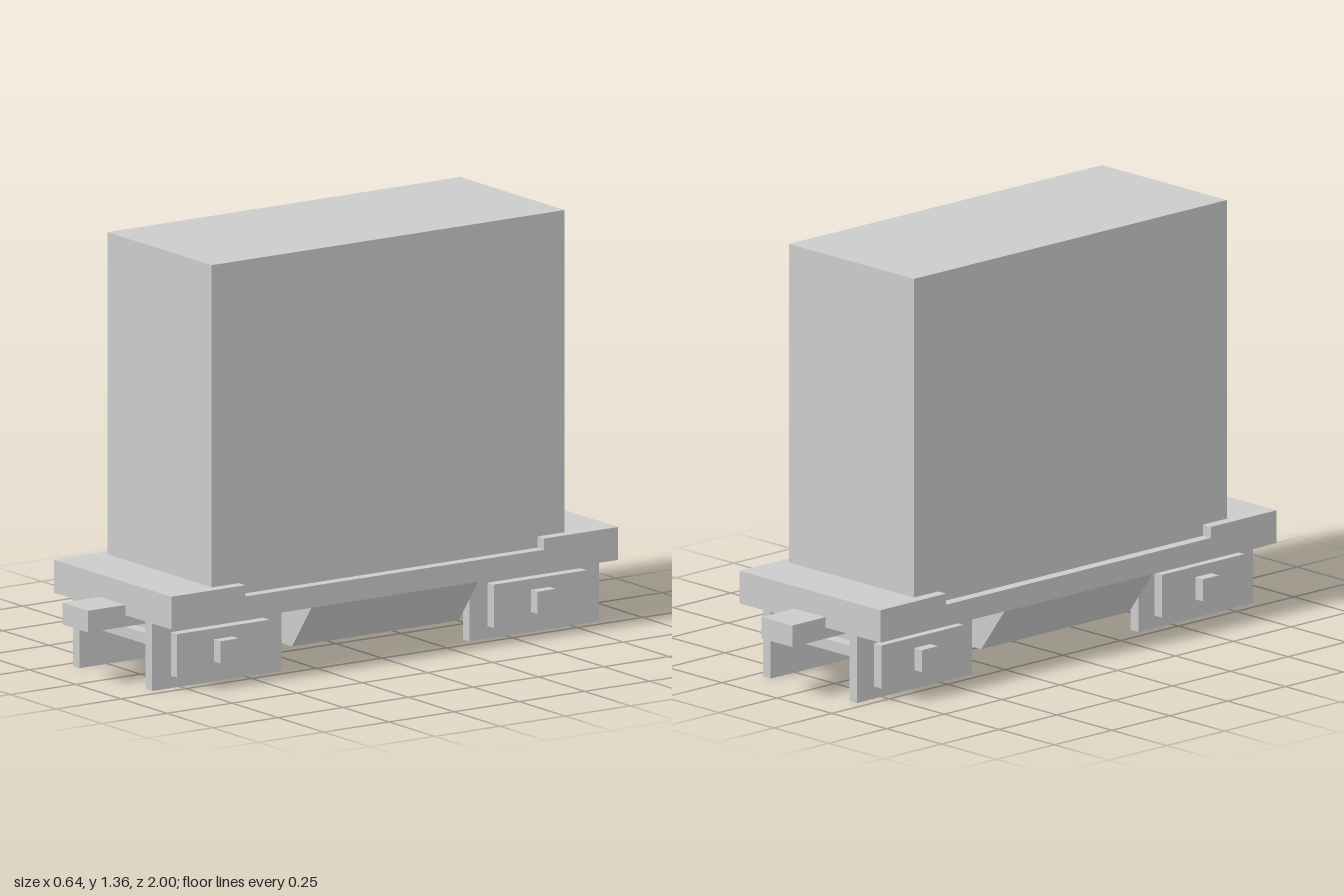
import * as THREE from 'three';

const material = new THREE.MeshStandardMaterial({ color: 0xcccccc, flatShading: true });

// Box given by its lower and upper limits on each axis
function block(parent, name, [x0, x1], [y0, y1], [z0, z1]) {
  const mesh = new THREE.Mesh(new THREE.BoxGeometry(x1 - x0, y1 - y0, z1 - z0), material);
  mesh.position.set((x0 + x1) / 2, (y0 + y1) / 2, (z0 + z1) / 2);
  mesh.name = name;
  parent.add(mesh);
}

// Outline extruded along z, centred on z = 0
function prism(points, depth) {
  const shape = new THREE.Shape(points.map(([x, y]) => new THREE.Vector2(x, y)));
  const geometry = new THREE.ExtrudeGeometry(shape, { depth, bevelEnabled: false });
  return geometry.translate(0, 0, -depth / 2);
}

// Front truck with its coupler
function createTruck() {
  const truck = new THREE.Group();
  for (const side of [1, -1]) {
    const span = (a, b) => (side > 0 ? [a, b] : [-b, -a]);
    block(truck, 'sideFrame', span(0.18, 0.215), [0, 0.217], [0.36, 0.857]);
    block(truck, 'sidePad', span(0.215, 0.25), [0.04, 0.18], [0.43, 0.785]);
    block(truck, 'axleBox', span(0.25, 0.285), [0.073, 0.145], [0.573, 0.643]);
  }
  // Cross members between the side frames
  block(truck, 'axle', [-0.18, 0.18], [0.073, 0.145], [0.573, 0.643]);
  for (const z of [0.465, 0.75]) {
    block(truck, 'crossBar', [-0.18, 0.18], [0.11, 0.145], [z - 0.02, z + 0.02]);
  }
  block(truck, 'pivot', [-0.07, 0.07], [0.145, 0.217], [0.54, 0.68]);
  block(truck, 'coupler', [-0.07, 0.07], [0.18, 0.25], [0.68, 1]);
  return truck;
}

export function createModel() {
  const model = new THREE.Group();
  model.name = 'freightWagon';

  // Deck with raised ends, drawn in side profile and turned to run across
  const deck = new THREE.Mesh(prism([
    [-0.857, 0.217], [0.857, 0.217], [0.857, 0.323], [0.573, 0.323],
    [0.573, 0.287], [-0.573, 0.287], [-0.573, 0.323], [-0.857, 0.323],
  ], 0.642), material);
  deck.rotation.y = Math.PI / 2;
  deck.name = 'deck';
  model.add(deck);

  block(model, 'container', [-0.285, 0.285], [0.287, 1.36], [-0.677, 0.677]);

  // Tapered belly under the deck
  const belly = new THREE.Mesh(prism([
    [-0.215, 0.073], [0.215, 0.073], [0.321, 0.217], [-0.321, 0.217],
  ], 0.64), material);
  belly.name = 'belly';
  model.add(belly);

  // One truck at each end
  for (const [name, turn] of [['frontTruck', 0], ['rearTruck', Math.PI]]) {
    const truck = createTruck();
    truck.name = name;
    truck.rotation.y = turn;
    model.add(truck);
  }
  return model;
}
